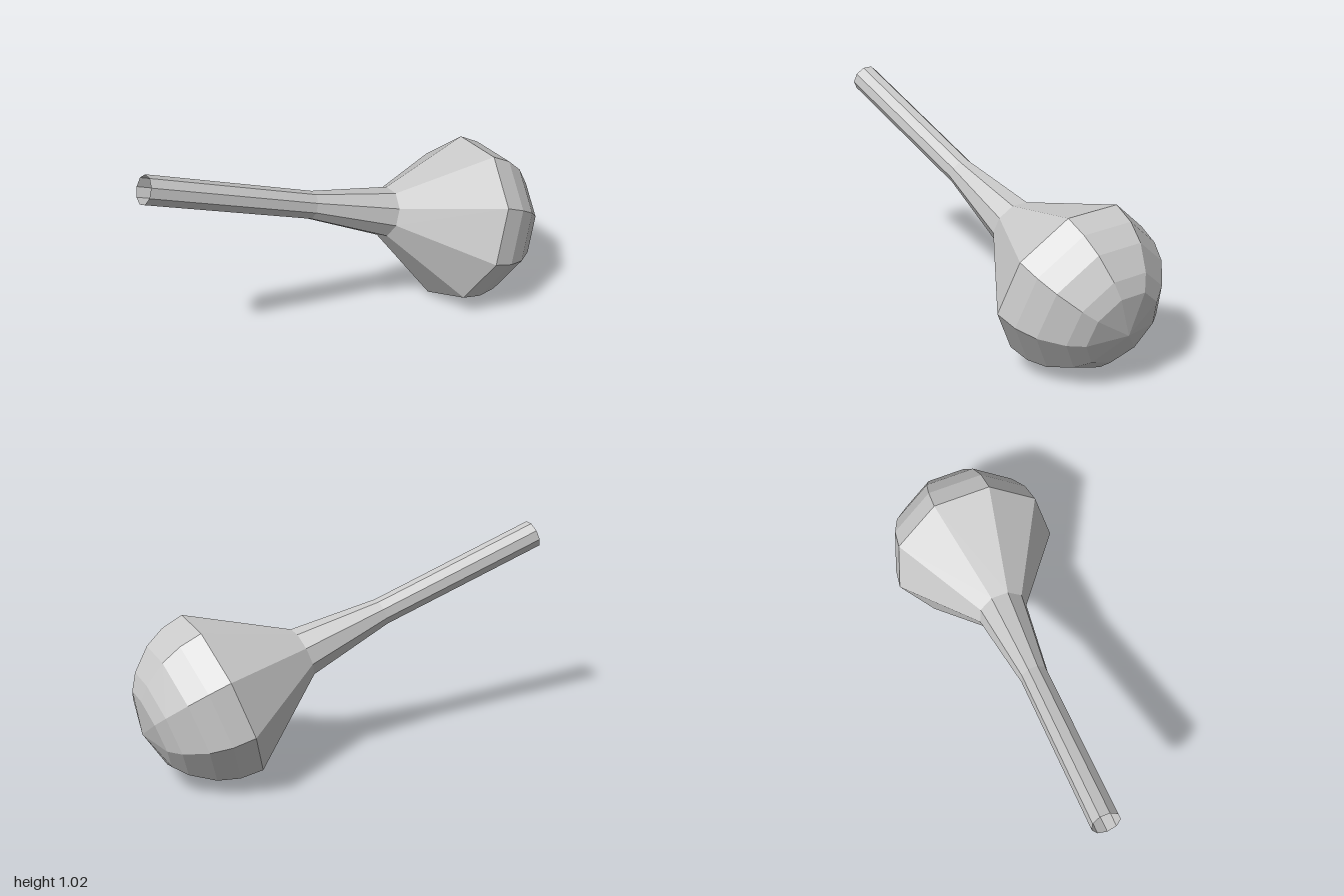
import * as THREE from 'three';

const SIDES = 9;

// Nine-sided surface of revolution from [radius, distance along axis] pairs
function facetedLathe(name, profile, material) {
  const points = profile.map(([r, t]) => new THREE.Vector2(r, t));
  const geometry = new THREE.LatheGeometry(points, SIDES, Math.PI / 2);
  const mesh = new THREE.Mesh(geometry, material);
  mesh.name = name;
  return mesh;
}

export function createModel() {
  const model = new THREE.Group();
  model.name = 'bulbWithHandle';
  const material = new THREE.MeshStandardMaterial({
    color: 0xcccccc, flatShading: true, side: THREE.DoubleSide,
  });

  const R = 0.396; // rim radius of the bulb

  // Hollow handle, open at the far end and flaring at the neck
  const handle = facetedLathe('handle', [
    [0.066, -1.683], [0.0645, -0.84], [0.117, -0.42],
  ], material);

  // Cone widening from the neck to the rim
  const cone = facetedLathe('cone', [[0.117, -0.42], [R, 0]], material);

  // Rounded dome closing the bulb
  const domeAngles = [0, 15.5, 30.5, 49, 61];
  const domeProfile = domeAngles.map((deg) => {
    const a = THREE.MathUtils.degToRad(deg);
    return [R * Math.cos(a), R * Math.sin(a)];
  });
  const dome = facetedLathe('dome', [...domeProfile, [0, 0.392]], material);

  // Tilt the axis down to the right, with a slight turn
  const body = new THREE.Group();
  body.name = 'body';
  body.add(handle, cone, dome);
  body.rotation.set(0, 0.019, THREE.MathUtils.degToRad(-109.6));
  body.position.set(0.606, 0.404, 0.003);
  model.add(body);
  return model;
}
